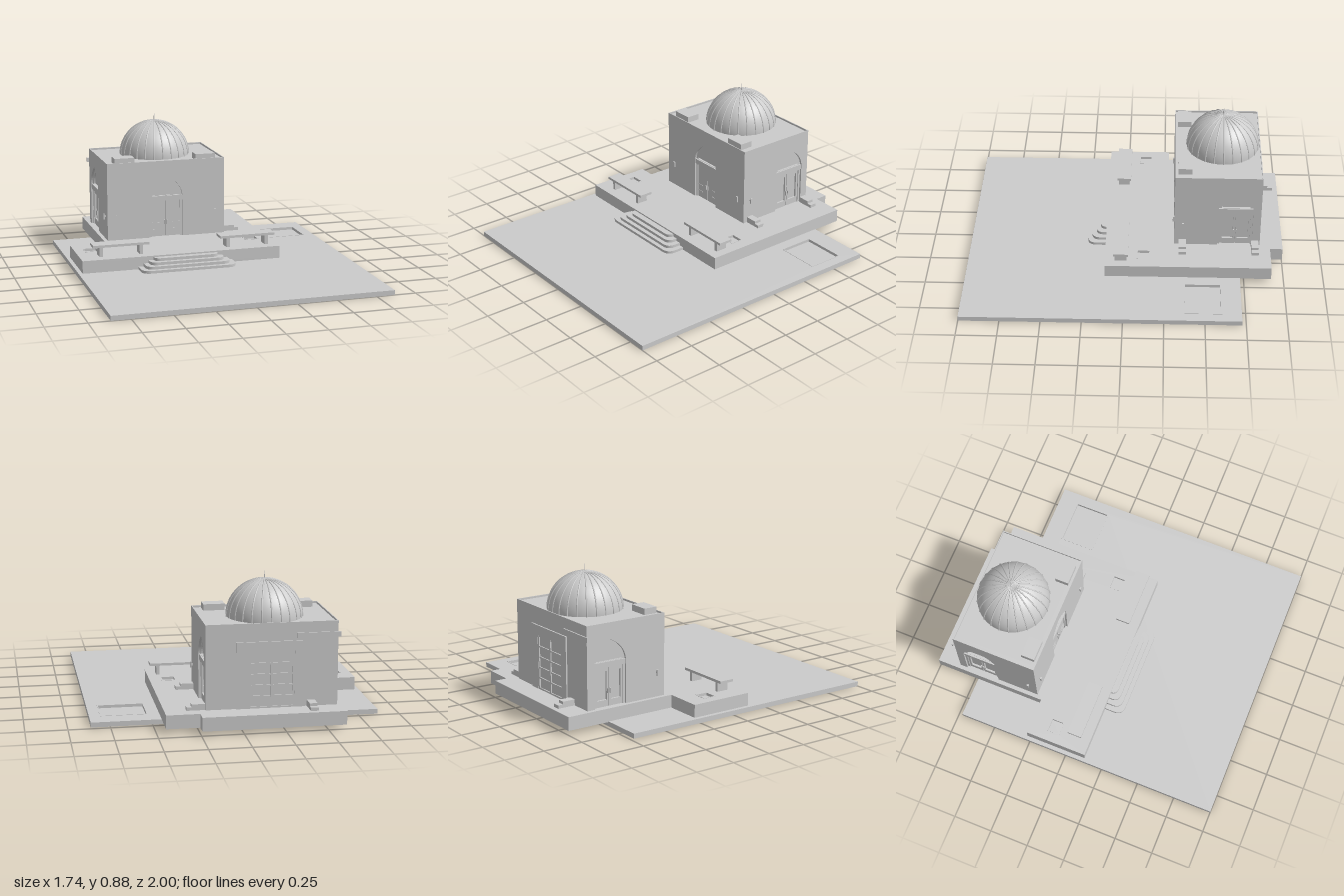
import * as THREE from 'three';

const mat = new THREE.MeshStandardMaterial({ color: 0xcccccc });

function mesh(parent, name, geo) {
  const m = new THREE.Mesh(geo, mat);
  m.name = name;
  parent.add(m);
  return m;
}

// Box given by its two extremes on each axis
function box(parent, name, x0, x1, y0, y1, z0, z1) {
  const g = new THREE.BoxGeometry(x1 - x0, y1 - y0, z1 - z0);
  g.translate((x0 + x1) / 2, (y0 + y1) / 2, (z0 + z1) / 2);
  return mesh(parent, name, g);
}

const points = (list) => list.map(([x, z]) => new THREE.Vector2(x, -z));
const rect = (x0, x1, z0, z1) => points([[x0, z0], [x0, z1], [x1, z1], [x1, z0]]);

// Plan outline (x, z) raised from y0 to y1, with rectangular holes
function slab(parent, name, outline, y0, y1, holes = []) {
  const s = new THREE.Shape(points(outline));
  holes.forEach((h) => s.holes.push(new THREE.Path(rect(...h))));
  const g = new THREE.ExtrudeGeometry(s, { depth: y1 - y0, bevelEnabled: false });
  g.rotateX(-Math.PI / 2).translate(0, y0, 0);
  return mesh(parent, name, g);
}

// Thin rim and floor for a sunken bed
function bed(parent, name, [x0, x1, z0, z1], floor, top) {
  const t = 0.006;
  box(parent, name + 'Floor', x0, x1, floor - 0.004, floor, z0, z1);
  slab(parent, name + 'Rim', [[x0, z0], [x0, z1], [x1, z1], [x1, z0]], floor, top + 0.002,
    [[x0 + t, x1 - t, z0 + t, z1 - t]]);
}

const BASE = 0.11, ROOF = 0.608, DEPTH = 0.03, HALF = 0.11, SPRING = 0.275, PEAK = 0.41;

// Pointed arch from left springing to right springing
function archOver(path, w, spring, peak) {
  path.quadraticCurveTo(-w * 0.91, spring + (peak - spring) * 0.63, 0, peak);
  path.quadraticCurveTo(w * 0.91, spring + (peak - spring) * 0.63, w, spring);
}

// Wall with an arched doorway; local x = 0 is the door axis, z = 0 the outer face
function archedWall(parent, name, a, b, glazed) {
  const g = new THREE.Group();
  g.name = name;
  parent.add(g);
  const h = ROOF - BASE;
  const s = new THREE.Shape();
  s.moveTo(a, 0).lineTo(-HALF, 0).lineTo(-HALF, SPRING);
  archOver(s, HALF, SPRING, PEAK);
  s.lineTo(HALF, 0).lineTo(b, 0).lineTo(b, h).lineTo(a, h);
  const opt = { depth: DEPTH, bevelEnabled: false, curveSegments: 12 };
  mesh(g, 'wall', new THREE.ExtrudeGeometry(s, opt).translate(0, 0, -DEPTH));

  // Arch moulding
  const band = new THREE.Shape();
  band.moveTo(-HALF, SPRING);
  archOver(band, HALF, SPRING, PEAK);
  const hole = new THREE.Path();
  hole.moveTo(-0.09, SPRING + 0.002);
  archOver(hole, 0.09, SPRING + 0.002, PEAK - 0.025);
  band.holes.push(hole);
  mesh(g, 'archMoulding', new THREE.ExtrudeGeometry(band, { ...opt, depth: 0.016 }).translate(0, 0, -DEPTH));
  box(g, 'lintel', -HALF, HALF, 0.242, SPRING, -DEPTH, -0.004);

  // Double door
  for (const d of [-1, 1]) {
    const bar = (n, x0, x1, y0, y1, z0, z1) =>
      box(g, n, Math.min(d * x0, d * x1), Math.max(d * x0, d * x1), y0, y1, z0, z1);
    bar('doorJamb', 0.096, HALF, 0, 0.242, -DEPTH, -0.012);
    if (glazed) {
      bar('doorStile', 0.002, 0.014, 0, 0.242, -DEPTH, -0.018);
      bar('doorStile', 0.082, 0.096, 0, 0.242, -DEPTH, -0.018);
      bar('doorRail', 0.014, 0.082, 0, 0.04, -DEPTH, -0.018);
      bar('doorRail', 0.014, 0.082, 0.215, 0.242, -DEPTH, -0.018);
    } else {
      bar('doorLeaf', 0.0015, 0.096, 0.002, 0.24, -DEPTH, -0.018);
      for (const y of [0.045, 0.09]) bar('doorHinge', 0.045, 0.094, y, y + 0.006, -0.018, -0.015);
    }
    bar('doorHandle', 0.006, 0.011, 0.08, 0.11, -0.018, -0.01);
  }
  return g;
}

export function createModel() {
  const root = new THREE.Group();
  root.name = 'domedPavilion';

  // Ground with sunken bed
  const pit = [0.515, 0.8, -0.605, -0.375];
  box(root, 'groundBase', -0.87, 0.865, 0, 0.01, -0.725, 1);
  slab(root, 'ground', [[-0.87, -0.725], [-0.87, 1], [0.865, 1], [0.865, -0.725]], 0.01, 0.03, [pit]);
  bed(root, 'groundBed', pit, 0.014, 0.03);

  // Terrace with two planter beds
  const beds = [[-0.785, -0.695, -0.16, -0.075], [0.28, 0.37, -0.16, -0.075]];
  slab(root, 'terrace', [[-0.61, -1], [-0.61, -0.275], [-0.845, -0.275], [-0.845, 0.125],
    [0.445, 0.125], [0.445, -0.92], [0.245, -0.92], [0.245, -1]], 0.027, BASE, beds);
  beds.forEach((b) => bed(root, 'planter', b, 0.095, BASE));

  // Rounded entrance steps
  for (let i = 0; i < 4; i++) {
    const w = 0.307 - i * 0.033, z = 0.245 - i * 0.027, r = 0.06 - i * 0.006, c = -0.183;
    const s = new THREE.Shape();
    s.moveTo(c - w, -0.12).lineTo(c - w, r - z).quadraticCurveTo(c - w, -z, c - w + r, -z);
    s.lineTo(c + w - r, -z).quadraticCurveTo(c + w, -z, c + w, r - z).lineTo(c + w, -0.12);
    const y = 0.047 + i * 0.018;
    const g = new THREE.ExtrudeGeometry(s, { depth: y - 0.028, bevelEnabled: false });
    mesh(root, 'step', g.rotateX(-Math.PI / 2).translate(0, 0.028, 0));
  }

  // Benches
  for (const x of [-0.765, 0.065]) {
    box(root, 'benchSeat', x, x + 0.363, 0.171, 0.187, -0.022, 0.07);
    for (const lx of [0.042, 0.3]) box(root, 'benchLeg', x + lx, x + lx + 0.022, BASE, 0.171, -0.012, 0.062);
  }

  // Building core and arched walls
  const X0 = -0.585, X1 = 0.205, Z0 = -0.855, Z1 = -0.31, cx = -0.19, dz = -0.695;
  box(root, 'core', X0 + DEPTH, X1 - DEPTH, BASE, ROOF, Z0, Z1 - DEPTH);
  archedWall(root, 'frontWall', X0 - cx, X1 - cx, false).position.set(cx, BASE, Z1);
  const right = archedWall(root, 'leftWall', -0.355, 0.16, true);
  right.position.set(X1, BASE, dz);
  right.rotation.y = Math.PI / 2;
  const left = archedWall(root, 'rightWall', -0.16, 0.355, true);
  left.position.set(X0, BASE, dz);
  left.rotation.y = -Math.PI / 2;

  // Roof edge and roof blocks
  const t = 0.006;
  slab(root, 'roofEdge', [[X0, Z0], [X0, Z1], [X1, Z1], [X1, Z0]], ROOF, 0.62,
    [[X0 + t, X1 - t, Z0 + t, Z1 - t]]);
  for (const x of [-0.53, 0.015]) box(root, 'roofBlock', x, x + 0.132, ROOF, 0.647, -0.415, -0.328);

  // Ribbed dome
  const dome = new THREE.Group();
  dome.name = 'dome';
  dome.position.set(cx, 0.612, -0.612);
  root.add(dome);
  const R = 0.229, H = 0.224;
  const shell = mesh(dome, 'domeShell', new THREE.SphereGeometry(R, 72, 24, 0, Math.PI * 2, 0, Math.PI / 2));
  shell.scale.y = H / R;
  const arc = [];
  for (let i = 0; i <= 14; i++) {
    const a = (i / 14) * Math.PI / 2;
    arc.push(new THREE.Vector3(R * Math.cos(a), H * Math.sin(a), 0));
  }
  const ribGeo = new THREE.TubeGeometry(new THREE.CatmullRomCurve3(arc), 24, 0.0045, 6);
  for (let i = 0; i < 24; i++) mesh(dome, 'domeRib', ribGeo).rotation.y = (i / 24) * Math.PI * 2;
  mesh(dome, 'finial', new THREE.CylinderGeometry(0.0015, 0.003, 0.055, 8)).position.y = H + 0.02;

  // Shelved bay on the back wall
  const bx0 = -0.37, bx1 = 0.025, wx0 = -0.325, wx1 = -0.05, zb = Z0 - 0.009;
  box(root, 'bayFrameSide', bx0, wx0, BASE, 0.51, zb, Z0);
  box(root, 'bayFrameSide', wx1, bx1, BASE, 0.51, zb, Z0);
  box(root, 'bayFrameTop', wx0, wx1, 0.45, 0.51, zb, Z0);
  for (let i = 0; i <= 5; i++) {
    const y = BASE + i * 0.066;
    box(root, 'bayShelf', wx0, wx1, y, y + 0.01, Z0 - 0.007, Z0);
  }
  for (const x of [wx0, (wx0 + wx1) / 2 - 0.006, wx1 - 0.012])
    box(root, 'bayPost', x, x + 0.012, BASE, 0.45, Z0 - 0.008, Z0);
  box(root, 'backLedge', -0.6, -0.34, 0.525, 0.555, Z0 - 0.008, Z0);

  // Small stepped plinths at the foot of the walls
  for (const z of [-0.845, -0.385]) {
    box(root, 'plinth', X1, 0.285, BASE, 0.147, z, z + 0.046);
    box(root, 'plinthStep', 0.285, 0.315, BASE, 0.13, z, z + 0.046);
  }
  box(root, 'plinth', -0.447, -0.4, BASE, 0.147, -0.935, Z0);
  box(root, 'plinthStep', -0.447, -0.4, BASE, 0.13, -0.968, -0.935);

  // Wall lamps
  for (const x of [-0.52, 0.142]) box(root, 'wallLamp', x - 0.007, x + 0.007, 0.243, 0.28, Z1, Z1 + 0.01);
  for (const [x, d] of [[X0, -1], [X1, 1]]) {
    box(root, 'lampArm', Math.min(x, x + d * 0.01), Math.max(x, x + d * 0.01), 0.257, 0.266, -0.37, -0.36);
    box(root, 'wallLamp', x + d * 0.012 - 0.004, x + d * 0.012 + 0.004, 0.243, 0.28, -0.372, -0.358);
  }
  return root;
}
